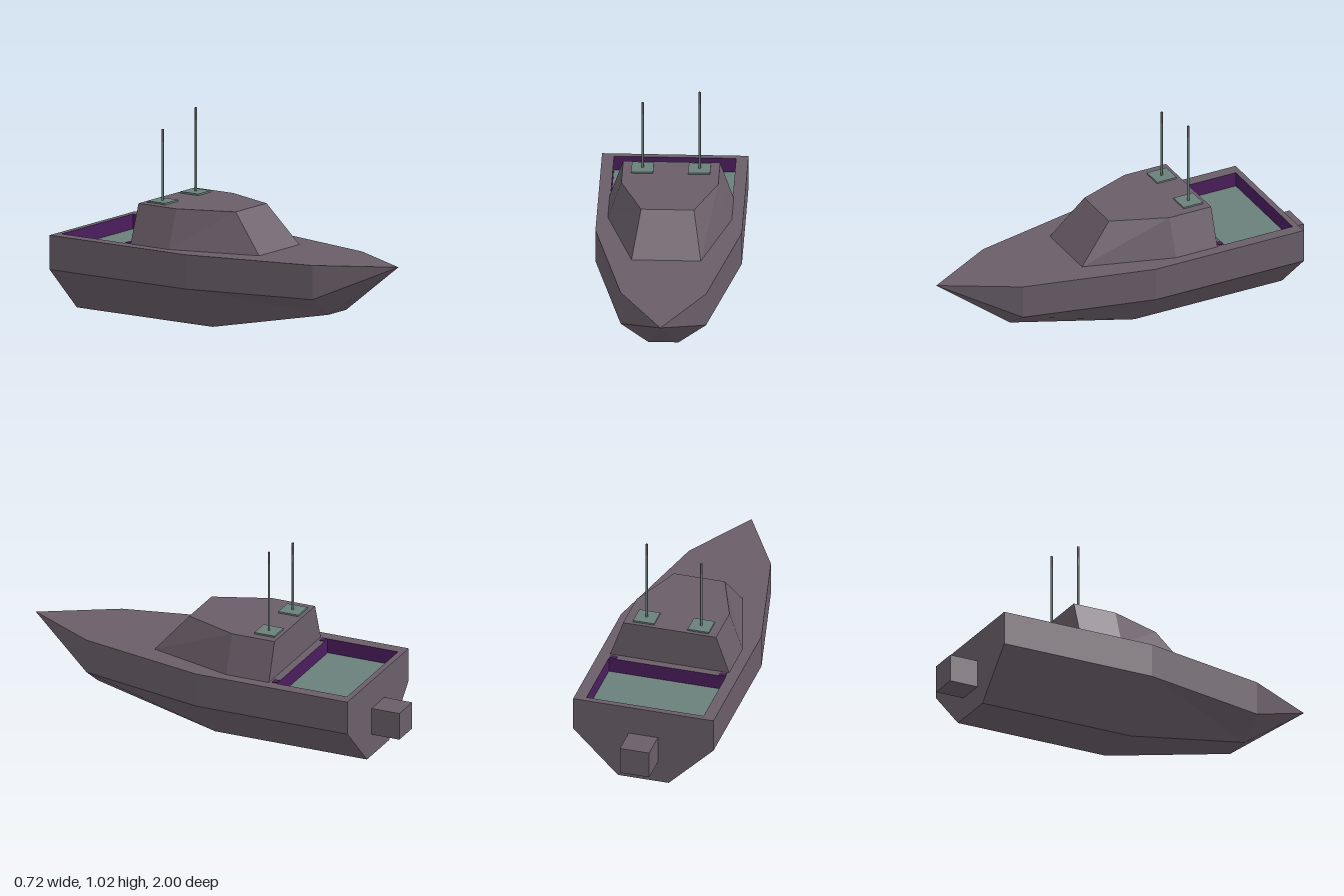
import * as THREE from 'three';

const mat = (name, color) => {
  const m = new THREE.MeshStandardMaterial({ color });
  m.name = name;
  return m;
};

// Flat-faceted skin through rings of [x, y, z] points, with end caps.
function loft(rings, { closed = false, capFirst = false, capLast = false }) {
  const pos = [];
  const same = (p, q) => p.every((v, i) => v === q[i]);
  const tri = (a, b, c) => {
    if (!same(a, b) && !same(b, c) && !same(a, c)) pos.push(...a, ...b, ...c);
  };
  for (let s = 0; s < rings.length - 1; s++) {
    const r = rings[s], q = rings[s + 1], n = r.length;
    for (let i = 0; i < (closed ? n : n - 1); i++) {
      const j = (i + 1) % n;
      tri(r[i], r[j], q[j]);
      tri(r[i], q[j], q[i]);
    }
  }
  const first = rings[0], last = rings[rings.length - 1];
  for (let i = 1; i < first.length - 1; i++) {
    if (capFirst) tri(first[0], first[i + 1], first[i]);
    if (capLast) tri(last[0], last[i], last[i + 1]);
  }
  const g = new THREE.BufferGeometry();
  g.setAttribute('position', new THREE.Float32BufferAttribute(pos, 3));
  g.computeVertexNormals();
  return g;
}

export function createModel() {
  const model = new THREE.Group();
  model.name = 'patrolBoat';
  const paint = mat('hullPaint', 0x6a5e69);
  const teal = mat('tealFittings', 0x6b807b);
  const purple = mat('purpleLining', 0x4a1d5c);

  const add = (name, geometry, material, x = 0, y = 0, z = 0) => {
    const mesh = new THREE.Mesh(geometry, material);
    mesh.name = name;
    mesh.position.set(x, y, z);
    model.add(mesh);
    return mesh;
  };

  // Hull: hard-chine sections from stern to a pointed bow
  const section = (z, w, chine, k, keel) => [
    [-w, 0.4, z], [-w, chine, z], [-k, keel, z], [k, keel, z], [w, chine, z], [w, 0.4, z],
  ];
  add('hull', loft([
    section(-0.85, 0.36, 0.228, 0.13, 0),
    section(-0.03, 0.36, 0.228, 0.13, 0),
    section(0.63, 0.21, 0.228, 0.075, 0.13),
    section(1, 0, 0.4, 0, 0.4),
  ], { capFirst: true }), paint);

  // Deck with the cockpit opening (shape y is -z)
  const v = (x, z) => new THREE.Vector2(x, -z);
  const deck = new THREE.Shape([
    v(-0.36, -0.85), v(-0.36, -0.03), v(-0.21, 0.63), v(0, 1),
    v(0.21, 0.63), v(0.36, -0.03), v(0.36, -0.85),
  ]);
  deck.holes.push(new THREE.Path([v(-0.3, -0.82), v(0.3, -0.82), v(0.3, -0.44), v(-0.3, -0.44)]));
  add('deck', new THREE.ShapeGeometry(deck).rotateX(-Math.PI / 2), paint, 0, 0.4, 0);

  // Cockpit lining and floor
  const floorY = 0.325;
  const well = (y) => [[-0.3, y, -0.82], [0.3, y, -0.82], [0.3, y, -0.44], [-0.3, y, -0.44]];
  add('cockpitWalls', loft([well(floorY), well(0.4)], { closed: true }), purple);
  add('cockpitFloor', new THREE.PlaneGeometry(0.6, 0.38).rotateX(-Math.PI / 2), teal, 0, floorY, -0.63);

  // Small purple plates at the forward corners of the cockpit
  for (const s of [-1, 1]) {
    add('cornerPlate', new THREE.BoxGeometry(0.035, 0.004, 0.025), purple, s * 0.28, 0.401, -0.425);
  }

  // Cabin with sloping sides and windscreen
  const cabinRing = (y, front, frontZ, rear) => [
    [-front, y, frontZ], [front, y, frontZ], [rear, y, -0.17],
    [rear, y, -0.4], [-rear, y, -0.4], [-rear, y, -0.17],
  ];
  add('cabin', loft([
    cabinRing(0.4, 0.17, 0.28, 0.305),
    cabinRing(0.593, 0.13, 0.11, 0.238),
  ], { closed: true, capLast: true }), paint);

  // Stern drive
  add('sternDrive', new THREE.BoxGeometry(0.15, 0.14, 0.15), paint, 0, 0.182, -0.925);

  // Antennas on square bases, the one on the left taller
  for (const [x, top] of [[-0.14, 0.957], [0.14, 1.02]]) {
    const z = -0.325, base = 0.6, tip = 0.062;
    const mast = top - tip - base;
    add('antennaBase', new THREE.BoxGeometry(0.108, 0.01, 0.108), teal, x, 0.596, z);
    add('antennaMast', new THREE.CylinderGeometry(0.006, 0.006, mast, 8), teal, x, base + mast / 2, z);
    add('antennaTip', new THREE.CylinderGeometry(0.006, 0.006, tip, 8), paint, x, top - tip / 2, z);
  }
  return model;
}
